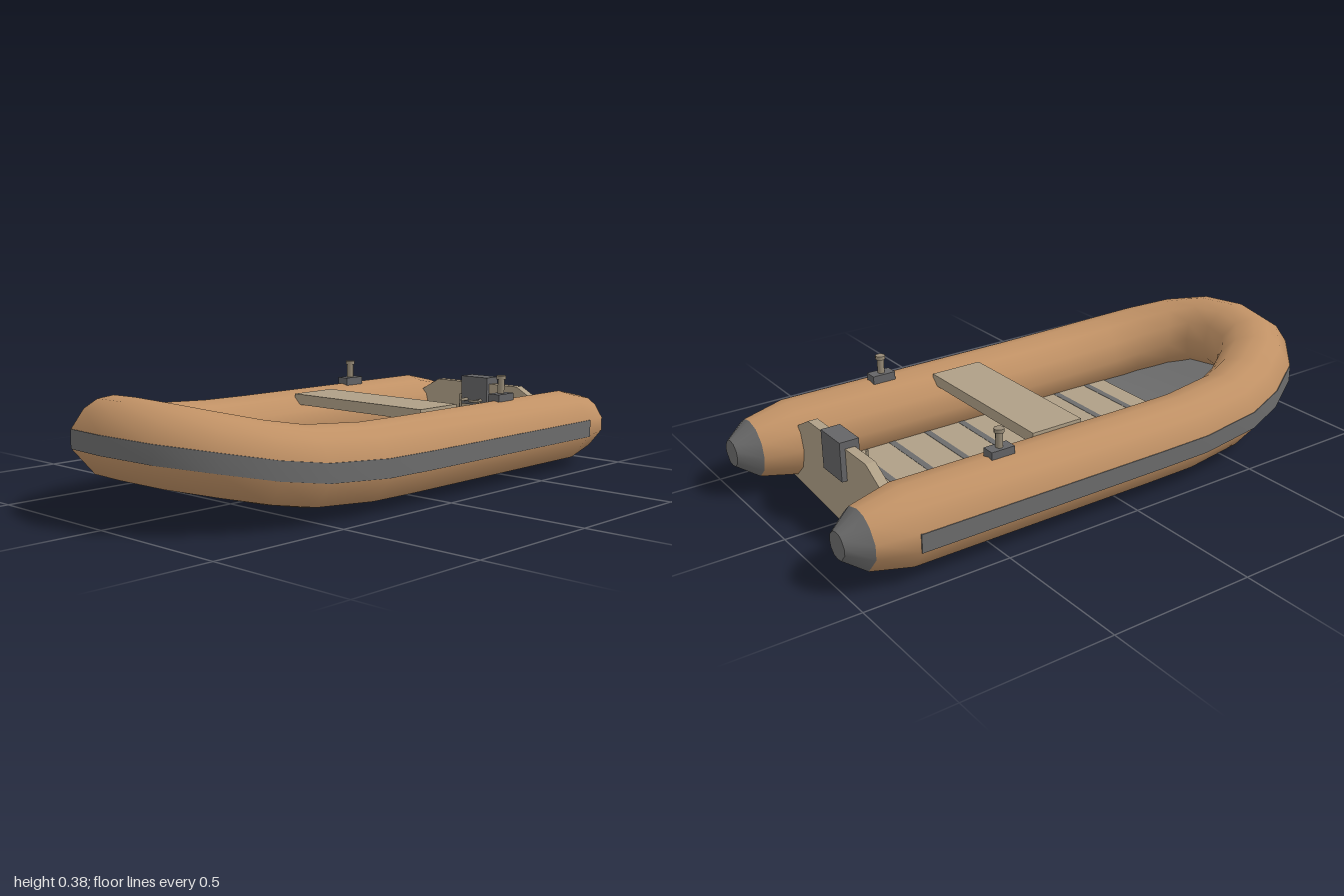
import * as THREE from 'three';
import { toCreasedNormals } from 'three/addons/utils/BufferGeometryUtils.js';

const mat = (name, color) => {
  const m = new THREE.MeshStandardMaterial({ color });
  m.name = name;
  return m;
};

// Skin rows of [x, y, z] points; each row is a closed cross-section loop
function loft(rows, crease) {
  const n = rows[0].length, index = [];
  for (let i = 0; i < rows.length - 1; i++) {
    for (let j = 0; j < n; j++) {
      const a = i * n + j, b = i * n + (j + 1) % n;
      index.push(a, a + n, b, b, a + n, b + n);
    }
  }
  const g = new THREE.BufferGeometry();
  g.setAttribute('position', new THREE.Float32BufferAttribute(rows.flat(2), 3));
  g.setIndex(index);
  return toCreasedNormals(g, crease);
}

export function createModel() {
  const root = new THREE.Group();
  root.name = 'inflatableBoat';
  const tan = mat('tan rubber', 0xc09165);
  const grey = mat('grey rubber', 0x6c6c6c);
  const wood = mat('board', 0xaf9f86);
  const pad = mat('pad grey', 0x646466);
  const metal = mat('fittings', 0x988c78);

  const add = (name, geo, material, x = 0, y = 0, z = 0, parent = root) => {
    const mesh = new THREE.Mesh(geo, material);
    mesh.name = name;
    mesh.position.set(x, y, z);
    parent.add(mesh);
    return mesh;
  };
  const box = (name, w, h, d, material, x, y, z, parent) =>
    add(name, new THREE.BoxGeometry(w, h, d), material, x, y, z, parent);

  // Buoyancy tube centreline: x, y, z, section scale (left side to the bow, then mirrored)
  const X = 0.366, Y = 0.152;
  const half = [
    [X, Y, -0.93, 0.76], [X, Y, -0.79, 1], [X, Y, 0.1, 1],
    [0.366, 0.154, 0.29, 1], [0.345, 0.168, 0.507, 1], [0.306, 0.19, 0.63, 1],
    [0.235, 0.221, 0.755, 1], [0.14, 0.244, 0.84, 1], [0, 0.252, 0.865, 1],
  ];
  const mirror = pts => pts.map(([x, ...rest]) => [-x, ...rest]).reverse();
  const path = [...half, ...mirror(half.slice(0, -1))];

  // Sweep a section of [outward, up] points along a centreline
  const sweep = (pts, section) => pts.map((p, i) => {
    const a = pts[Math.max(i - 1, 0)], b = pts[Math.min(i + 1, pts.length - 1)];
    const tx = b[0] - a[0], tz = b[2] - a[2], len = Math.hypot(tx, tz);
    return section.map(([o, u]) => [
      p[0] + p[3] * o * tz / len, p[1] + p[3] * u, p[2] - p[3] * o * tx / len]);
  });
  // Tube section with a flat outer face for the strake
  const tubeSection = [
    [0, 0.128], [0.05, 0.119], [0.092, 0.091], [0.132, 0.031], [0.132, -0.031], [0.064, -0.113],
    [0, -0.125], [-0.065, -0.111], [-0.114, -0.064], [-0.131, 0], [-0.114, 0.064], [-0.065, 0.112],
  ];
  add('buoyancyTube', loft(sweep(path, tubeSection), 1.1), tan);

  // Rubbing strake, a thin band on the flat outer face
  const band = half.slice(1);
  band[0] = [X, Y, -0.8, 1];
  const strakePath = [...band, ...mirror(band.slice(0, -1))];
  const strake = sweep(strakePath, [[0.127, 0.031], [0.1342, 0.0305], [0.1342, -0.0305], [0.127, -0.031]]);
  const shut = row => row.map(([x, y, z]) => [Math.sign(x) * 0.49, y, z]);
  add('rubbingStrake', loft([shut(strake[0]), ...strake, shut(strake[strake.length - 1])], 0.7), grey);

  // Tail cones with flat ends
  const tail = [[X, Y, -1, 0], [X, Y, -0.9999, 0.35], [X, Y, -0.93, 0.76]];
  for (const pts of [tail, mirror(tail)]) {
    add('tailCone', loft(sweep(pts, tubeSection), 0.75), grey);
  }

  // V bottom and inner floor: z, half width, keel height, edge height, floor height
  const stations = [
    [-0.8, 0.34, 0.002, 0.03, 0.08], [0.25, 0.34, 0.002, 0.03, 0.08],
    [0.4, 0.325, 0.01, 0.037, 0.08], [0.55, 0.295, 0.03, 0.052, 0.09],
    [0.68, 0.24, 0.062, 0.08, 0.12], [0.78, 0.165, 0.096, 0.107, 0.15],
    [0.85, 0.07, 0.122, 0.125, 0.17],
  ];
  add('hullBottom', loft(stations.map(([z, w, k, e, f]) => [
    [w, e, z], [0, k, z], [-w, e, z], [-w, f - 0.01, z], [w, f - 0.01, z]]), 0.4), grey);
  add('innerFloor', loft(stations.map(([z, w, , , f]) => [
    [w, f - 0.008, z], [-w, f - 0.008, z], [-w, f, z], [w, f, z]]), 0.4), grey);

  // Board floor with thin dark cross strips
  box('floorBoard', 0.52, 0.012, 1.235, wood, 0, 0.082, -0.1625);
  for (let i = 0; i < 9; i++) {
    box('floorStrip', 0.52, 0.003, 0.024, grey, 0, 0.0875, -0.753 + i * 0.1405);
  }

  // Transom board
  const outline = [[0, 0.001], [0.35, 0.031], [0.3, 0.1], [0.27, 0.15], [0.27, 0.235], [0.19, 0.28]];
  const mirrored = outline.slice(1).reverse().map(([x, y]) => [-x, y]);
  const shape = new THREE.Shape([...outline, ...mirrored].map(p => new THREE.Vector2(...p)));
  add('transom', new THREE.ExtrudeGeometry(shape, { depth: 0.034, bevelEnabled: false }), wood, 0, 0, -0.804);

  // Thwart seat
  box('seat', 0.6, 0.038, 0.19, wood, 0, 0.256, -0.175);

  // Motor clamp pad over the transom, with two clamp screws
  const clamp = new THREE.Group();
  clamp.name = 'motorClamp';
  root.add(clamp);
  box('clampTop', 0.124, 0.025, 0.067, pad, 0, 0.292, -0.7885, clamp);
  box('clampOuterPlate', 0.124, 0.11, 0.018, pad, 0, 0.226, -0.813, clamp);
  box('clampInnerPlate', 0.124, 0.085, 0.015, pad, 0, 0.238, -0.7625, clamp);
  for (const s of [1, -1]) {
    const shaft = new THREE.CylinderGeometry(0.006, 0.006, 0.052, 8).rotateX(Math.PI / 2);
    add('clampScrew', shaft, metal, s * 0.034, 0.215, -0.74, clamp);
    const bar = new THREE.CylinderGeometry(0.005, 0.005, 0.05, 8);
    if (s > 0) bar.rotateZ(Math.PI / 2);
    add('clampHandle', bar, metal, s * 0.034, 0.215, -0.716, clamp);
  }

  // Oarlocks on both sides
  for (const s of [1, -1]) {
    const lock = new THREE.Group();
    lock.name = 'oarlock';
    lock.position.set(s * 0.362, 0, -0.44);
    root.add(lock);
    box('oarlockBase', 0.046, 0.03, 0.084, pad, 0, 0.287, 0, lock);
    add('oarlockPin', new THREE.CylinderGeometry(0.012, 0.012, 0.055, 10), metal, 0, 0.326, 0, lock);
    add('oarlockHead', new THREE.CylinderGeometry(0.017, 0.017, 0.013, 10), metal, 0, 0.358, 0, lock);
  }
  return root;
}
